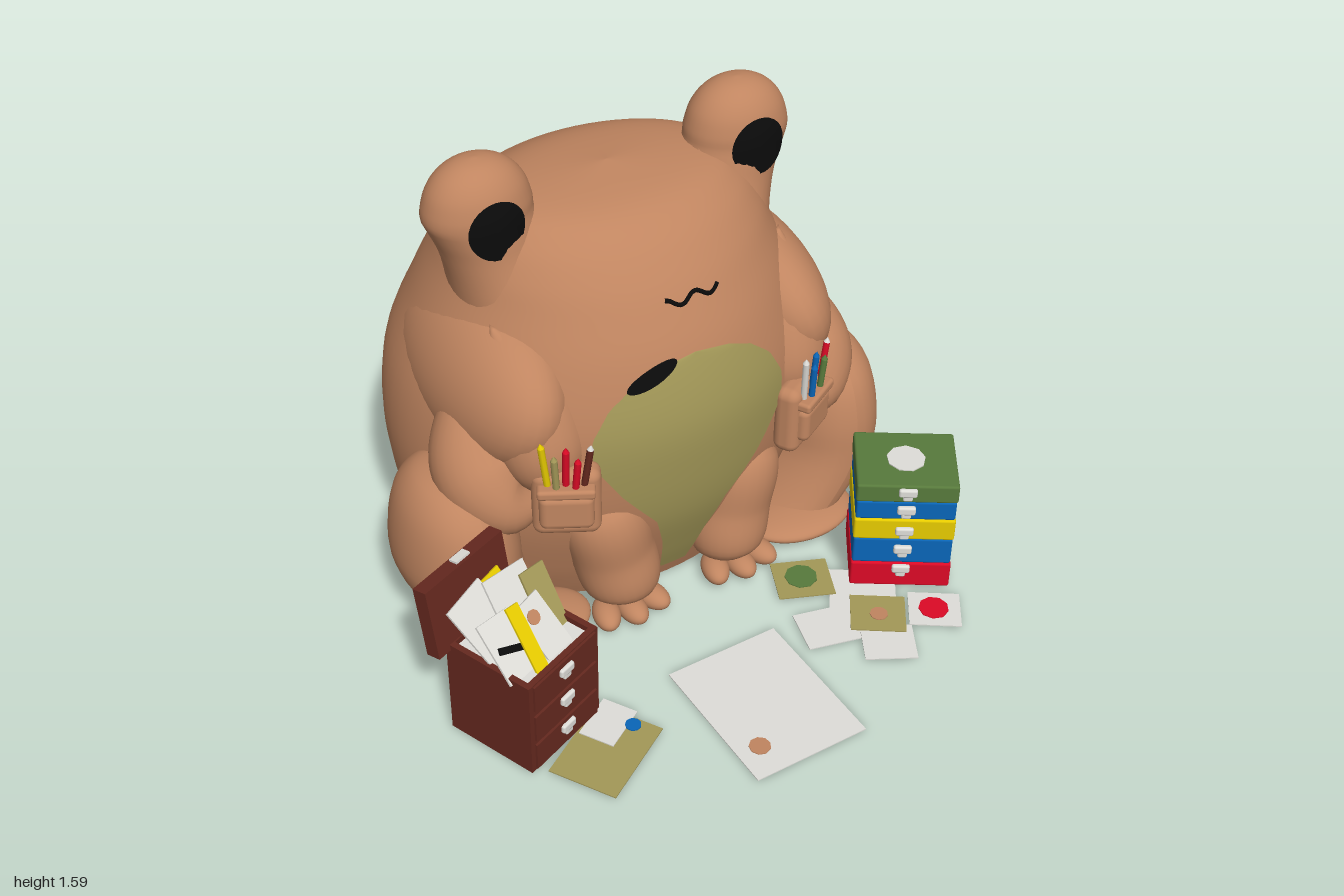
import * as THREE from 'three';
import { mergeVertices } from 'three/addons/utils/BufferGeometryUtils.js';
import { RoundedBoxGeometry } from 'three/addons/geometries/RoundedBoxGeometry.js';

const mat = (name, color) => Object.assign(new THREE.MeshStandardMaterial({ color }), { name });
const CX = 0.045; // the animal sits a little off the middle

// Body cross-sections: height, back z, front z, half width
const SLICES = [
  [0.01, -0.76, 0.08, 0.58], [0.08, -0.83, 0.11, 0.63], [0.2, -0.905, 0.16, 0.68], [0.4, -0.965, 0.23, 0.72],
  [0.6, -0.995, 0.265, 0.73], [0.8, -0.99, 0.275, 0.7], [1.0, -0.91, 0.235, 0.62],
  [1.15, -0.83, 0.17, 0.555], [1.25, -0.755, 0.11, 0.515], [1.34, -0.645, 0.03, 0.45],
  [1.4, -0.51, -0.08, 0.34], [1.43, -0.29, -0.29, 0],
];
const curveA = new THREE.CatmullRomCurve3(SLICES.map(s => new THREE.Vector3(s[0], s[1], s[2])), false, 'catmullrom');
const curveB = new THREE.CatmullRomCurve3(SLICES.map(s => new THREE.Vector3(s[0], s[3], 0)), false, 'catmullrom');
const ROWS = Array.from({ length: 56 }, (_, i) => {
  const a = curveA.getPoint(i / 55), b = curveB.getPoint(i / 55);
  return { y: a.x, zc: (a.y + a.z) / 2, hz: (a.z - a.y) / 2, hw: b.y };
});

// Body section at a height, and the front surface at a given x, y
function section(y) {
  let i = 0;
  while (i < ROWS.length - 2 && ROWS[i + 1].y < y) i++;
  const p = ROWS[i], q = ROWS[i + 1], k = THREE.MathUtils.clamp((y - p.y) / (q.y - p.y), 0, 1);
  return ['zc', 'hz', 'hw'].map(key => p[key] + (q[key] - p[key]) * k);
}
function bodyZ(x, y) {
  const [zc, hz, hw] = section(y);
  return zc + hz * Math.sqrt(Math.max(0, 1 - ((x - CX) / hw) ** 2));
}

function mapVertices(geo, fn) {
  const p = geo.attributes.position, v = new THREE.Vector3();
  for (let i = 0; i < p.count; i++) {
    fn(v.fromBufferAttribute(p, i), i);
    p.setXYZ(i, v.x, v.y, v.z);
  }
  geo.computeVertexNormals();
  return geo;
}
const onBody = geo => mapVertices(geo, v => { v.z = bodyZ(v.x, v.y) + 0.008; });

// Join seams, smooth, and drop the faces buried in the body
function trim(source) {
  source.deleteAttribute('normal');
  source.deleteAttribute('uv');
  const geo = mergeVertices(source), p = geo.attributes.position, ix = geo.index.array, keep = [];
  geo.computeVertexNormals();
  for (let i = 0; i < ix.length; i += 3) {
    const c = new THREE.Vector3();
    for (let k = 0; k < 3; k++) c.add(new THREE.Vector3().fromBufferAttribute(p, ix[i + k]).divideScalar(3));
    const [zc, hz, hw] = section(c.y);
    const buried = c.y < 1.43 && ((c.x - CX) / hw) ** 2 + ((c.z - zc) / hz) ** 2 < 0.88;
    if (!buried) keep.push(ix[i], ix[i + 1], ix[i + 2]);
  }
  geo.setIndex(keep);
  return geo;
}

function bodyGeometry(cols = 64) {
  const pos = [], idx = [];
  ROWS.forEach((r, i) => {
    for (let j = 0; j < cols; j++) {
      const a = j / cols * Math.PI * 2;
      pos.push(CX + r.hw * Math.sin(a), r.y, r.zc + r.hz * Math.cos(a));
      if (i === ROWS.length - 1) continue;
      const k = i * cols + j, n = i * cols + (j + 1) % cols;
      idx.push(k, n, n + cols, k, n + cols, k + cols);
    }
  });
  const g = new THREE.BufferGeometry();
  g.setAttribute('position', new THREE.Float32BufferAttribute(pos, 3));
  g.setIndex(idx);
  g.computeVertexNormals();
  return g;
}

// Swept limb with a radius for each point: [x, y, z, r]
function limbGeometry(pts, seg = 36, rad = 28) {
  const curve = new THREE.CatmullRomCurve3(pts.map(p => new THREE.Vector3(p[0], p[1], p[2])));
  const radii = new THREE.SplineCurve(pts.map((p, i) => new THREE.Vector2(i, p[3])));
  return mapVertices(new THREE.TubeGeometry(curve, seg, 1, rad, false), (v, i) => {
    const t = Math.floor(i / (rad + 1)) / seg, c = curve.getPointAt(t);
    v.sub(c).multiplyScalar(Math.max(0, radii.getPoint(curve.getUtoTmapping(t)).y)).add(c);
    v.y = Math.max(v.y, 0.005);
  });
}
const lathe = (pts, n) => new THREE.LatheGeometry(new THREE.SplineCurve(pts.map(p => new THREE.Vector2(...p)))
  .getPoints(n).map(p => p.set(Math.max(0, p.x), p.y)), 36);

export function createModel() {
  const M = {
    skin: mat('skin brown', 0xc08560), olive: mat('olive', 0xa39858), black: mat('black', 0x0b0b0b),
    wood: mat('dark wood', 0x66291f), white: mat('paper white', 0xdfded9), yellow: mat('yellow', 0xf5d800),
    red: mat('red', 0xdc0a26), blue: mat('blue', 0x0a66b8), green: mat('green', 0x587a3c),
  };
  const root = new THREE.Group();
  const add = (parent, name, geo, m, pos = [0, 0, 0], rot = [0, 0, 0]) => {
    const mesh = new THREE.Mesh(geo, m);
    mesh.name = name;
    mesh.position.set(...pos);
    mesh.rotation.set(...rot);
    parent.add(mesh);
    return mesh;
  };
  const group = (name, pos, ry = 0) => {
    const g = new THREE.Group();
    g.name = name;
    g.position.set(...pos);
    g.rotation.y = ry;
    root.add(g);
    return g;
  };
  const box = (w, h, d) => new THREE.BoxGeometry(w, h, d);

  // Body, seat underneath and belly patch
  add(root, 'body', bodyGeometry(), M.skin);
  const seat = new THREE.Shape();
  seat.absellipse(CX, -0.34, 0.58, 0.42, Math.PI, Math.PI * 2);
  seat.lineTo(CX + 0.52, -0.02);
  seat.quadraticCurveTo(CX, -0.32, CX - 0.52, -0.02);
  add(root, 'seat', new THREE.ShapeGeometry(seat, 24).rotateX(Math.PI / 2), M.skin, [0, 0.01, 0]);
  const W = [[0.08, 0.05], [0.25, 0.08], [0.4, 0.13], [0.55, 0.25], [0.7, 0.345], [0.8, 0.345], [0.9, 0.29], [0.97, 0.21], [1.01, 0.12], [1.03, 0]];
  const bellyHalf = y => {
    const i = Math.max(1, W.findIndex(w => w[0] >= y - 1e-6)), [y0, w0] = W[i - 1], [y1, w1] = W[i];
    return w0 + (w1 - w0) * (y - y0) / (y1 - y0);
  };
  const belly = mapVertices(new THREE.PlaneGeometry(1, 1, 20, 48), v => {
    v.y = 0.08 + (v.y + 0.5) * 0.95;
    v.x = 0.045 + v.x * 2 * bellyHalf(Math.min(v.y, 1.03));
  });
  add(root, 'belly', onBody(belly), M.olive);

  // Face
  const mouth = new THREE.RingGeometry(0, 1, 24, 4).scale(0.09, 0.027, 1).rotateZ(0.42).translate(-0.105, 0.99, 0);
  add(root, 'mouth', onBody(mouth).translate(0, 0, 0.004), M.black);
  const wave = Array.from({ length: 13 }, (_, i) => {
    const x = -0.015 + i * 0.016, y = 1.175 + 0.012 * Math.cos(i * 0.95);
    return new THREE.Vector3(x, y, bodyZ(x, y));
  });
  add(root, 'nose', new THREE.TubeGeometry(new THREE.CatmullRomCurve3(wave), 36, 0.007, 6), M.black);

  const bulbProfile = [[0.21, -0.36], [0.18, -0.22], [0.168, -0.12], [0.171, -0.05], [0.175, 0.01], [0.169, 0.05], [0.15, 0.1], [0.113, 0.144], [0.06, 0.173], [0, 0.183]];
  const pupil = mapVertices(new THREE.RingGeometry(0, 0.094, 28, 5), v => {
    v.z = 0.14 * Math.sqrt(1 - (v.x / 0.175) ** 2 - (Math.max(v.y, 0) / 0.183) ** 2) + 0.01;
  });
  const haunchProfile = [[0, 0.012], [0.5, 0.012], [0.9, 0.014], [0.97, 0.15], [1, 0.45], [0.97, 0.65], [0.84, 0.83], [0.6, 0.945], [0.3, 0.99], [0, 1]];

  for (const s of [1, -1]) {
    const side = s > 0 ? 'left' : 'right';
    const X = d => CX + s * d;
    const skin = (name, geo) => add(root, side + name, trim(geo), M.skin);
    const limb = (name, pts) => skin(name, limbGeometry(pts.map(([d, ...r]) => [X(d), ...r])));
    const blob = (name, [d, y, z], radii, ry = 0, rz = 0) =>
      skin(name, new THREE.SphereGeometry(1, 36, 24).scale(...radii).rotateZ(rz).rotateY(ry).translate(X(d), y, z));

    // Eyes on stalks that lean in and flare towards the head
    const bulb = mapVertices(lathe(bulbProfile, 36).scale(1, 1, 0.8), v => {
      const low = Math.max(0, -v.y);
      v.x -= s * low * 0.36;
      v.z *= 1 + low * 1.5;
    });
    skin('EyeBulb', bulb.translate(X(0.457), 1.412, -0.27));
    add(root, side + 'Pupil', pupil, M.black, [X(0.457), 1.412, -0.27]);

    // Arms: broad sleeve, elbow and a forearm lying on the belly
    blob('Sleeve', [0.485, 0.87, -0.24], [0.195, 0.27, 0.42], 0, s * 0.3);
    limb('Elbow', [[0.52, 0.96, -0.2, 0], [0.56, 0.82, -0.14, 0.11], [0.6, 0.64, -0.04, 0.16], [0.55, 0.56, 0.06, 0.12], [0.44, 0.56, 0.13, 0]]);
    limb('Forearm', [[0.52, 1.12, -0.1, 0], [0.48, 1.0, -0.04, 0.11], [0.45, 0.83, 0.035, 0.145], [0.44, 0.68, 0.08, 0.125], [0.43, 0.52, 0.13, 0]]);

    // Legs: haunch tucked in at the floor, flat hind foot, front leg with toes
    const haunch = mapVertices(lathe(haunchProfile, 36).scale(0.195, 0.645, 0.27), v => {
      v.x -= s * 0.17 * (Math.max(0, 0.32 - v.y) / 0.32) ** 1.6;
    });
    add(root, side + 'Haunch', haunch.translate(X(0.69), 0, -0.09), M.skin);
    blob('HindFoot', [0.52, 0.05, 0.1], [0.2, 0.045, 0.14]);
    limb('FrontLeg', [[0.3, 0.56, 0.05, 0], [0.26, 0.44, 0.09, 0.135], [0.225, 0.25, 0.105, 0.14], [0.2, 0.1, 0.13, 0.12], [0.2, 0.01, 0.14, 0]]);
    for (const k of [-1, 0, 1])
      blob('Toe', [0.21 + k * 0.085, 0.045, 0.205 - Math.abs(k) * 0.02], [0.046, 0.04, 0.075], k * s * 0.3);

    // Pouch on the forearm with pens
    const pouch = group(side + 'Pouch', [X(0.43), 0.61, 0.185], s * 0.5);
    add(pouch, 'pouchBack', new RoundedBoxGeometry(0.215, 0.25, 0.09, 3, 0.035), M.skin);
    add(pouch, 'pouchPocket', new RoundedBoxGeometry(0.17, 0.13, 0.06, 3, 0.025), M.skin, [0, -0.01, 0.045]);
    add(pouch, 'pouchFlap', new RoundedBoxGeometry(0.18, 0.035, 0.075, 2, 0.012), M.skin, [0, 0.07, 0.045]);
    const pens = s > 0 ? ['white', 'blue', 'blue', 'green', 'red'] : ['yellow', 'olive', 'red', 'red', 'wood'];
    pens.forEach((c, i) => {
      const h = [0.24, 0.2, 0.22, 0.19, 0.23][i];
      const pen = add(pouch, 'pen', new THREE.CylinderGeometry(0.011, 0.011, h, 8), M[c], [-0.06 + i * 0.03, h / 2, 0.045 + 0.014 * (i % 2)], [0.06, 0, 0.1 - i * 0.06]);
      add(pen, 'penTip', new THREE.ConeGeometry(0.011, 0.018, 8), i === 4 ? M.white : M[c], [0, h / 2 + 0.009, 0]);
    });
  }

  const knobs = (parent, ys, z) => ys.forEach(y => {
    add(parent, 'handle', new RoundedBoxGeometry(0.06, 0.032, 0.02, 2, 0.008), M.white, [0, y, z]);
    add(parent, 'handleDrop', new RoundedBoxGeometry(0.032, 0.024, 0.016, 2, 0.006), M.white, [0, y - 0.02, z]);
  });

  // Wooden drawer chest, open at the top and full of papers
  const chest = group('drawerChest', [-0.675, 0.005, 0.415], 0.38);
  add(chest, 'chestBase', box(0.325, 0.31, 0.32), M.wood, [0, 0.155, 0]);
  for (const s of [-1, 1]) {
    add(chest, 'chestSide', box(0.02, 0.05, 0.32), M.wood, [s * 0.1525, 0.335, 0]);
    add(chest, 'chestRim', box(0.325, 0.05, 0.02), M.wood, [0, 0.335, s * 0.15]);
  }
  add(chest, 'paperBed', box(0.285, 0.03, 0.28), M.white, [0, 0.325, 0]);
  for (const y of [0.06, 0.18, 0.305]) add(chest, 'drawerFront', box(0.29, 0.1, 0.01), M.wood, [0, y, 0.163]);
  knobs(chest, [0.08, 0.2, 0.32], 0.17);
  add(chest, 'lid', box(0.345, 0.25, 0.05), M.wood, [-0.04, 0.46, -0.185], [-0.15, 0, 0]);
  add(chest, 'lidPanel', box(0.24, 0.13, 0.006), M.olive, [-0.04, 0.455, -0.212], [-0.15, 0, 0]);
  add(chest, 'lidClasp', box(0.06, 0.008, 0.03), M.white, [-0.03, 0.587, -0.205], [-0.15, 0, 0]);
  // Filed papers: colour, x, y, z, width, height, tilt, roll
  const filed = [
    ['yellow', 0.0, 0.43, -0.1, 0.16, 0.17, -0.6, 0.1], ['white', -0.085, 0.43, -0.06, 0.16, 0.24, -0.7, 0.15],
    ['white', 0.03, 0.435, -0.035, 0.17, 0.24, -0.65, -0.12], ['olive', 0.11, 0.42, 0, 0.1, 0.22, -0.6, -0.1],
    ['white', -0.095, 0.405, 0.03, 0.13, 0.2, -0.8, -0.1], ['yellow', -0.045, 0.415, 0.06, 0.05, 0.22, -0.7, -0.12],
    ['white', 0.03, 0.405, 0.06, 0.11, 0.2, -0.7, 0.08],
  ].map(([c, x, y, z, w, h, tilt, roll]) => add(chest, 'filedPaper', box(w, h, 0.008), M[c], [x, y, z], [tilt, 0, roll]));
  add(filed[6], 'paperMark', new THREE.CylinderGeometry(0.024, 0.024, 0.004, 10), M.skin, [-0.01, 0.045, 0.005], [Math.PI / 2, 0, 0]);
  add(filed[4], 'inkPen', box(0.09, 0.022, 0.008), M.black, [0, -0.01, 0.008], [0, 0, -0.3]);

  // Stack of coloured drawers
  const stack = group('drawerStack', [0.745, 0.005, 0.425], -0.58);
  [['red', 0, 0.1], ['blue', 0.1, 0.105], ['yellow', 0.205, 0.085], ['blue', 0.29, 0.075], ['green', 0.365, 0.07]].forEach(([c, y, h], i) =>
    add(stack, c + 'Drawer', new RoundedBoxGeometry(0.33 - (i % 2) * 0.006, h, 0.275 - (i % 2) * 0.006, 2, 0.008), M[c], [0, y + h / 2, 0]));
  knobs(stack, [0.08, 0.165, 0.245, 0.335, 0.41], 0.14);
  add(stack, 'topLabel', new THREE.CylinderGeometry(0.064, 0.064, 0.006, 9), M.white, [0, 0.436, 0], [0, 0.3, 0]);

  // Papers on the floor: name, colour, x, z, width, depth, turn, level
  const papers = [
    ['largeSheet', 'white', 0, 0.745, 0.4, 0.51, 0, 0], ['chestSheet', 'olive', -0.53, 0.66, 0.31, 0.23, 0.55, 1],
    ['chestSheetCorner', 'white', -0.47, 0.57, 0.16, 0.12, 0.55, 2], ['noteGreen', 'olive', 0.405, 0.36, 0.19, 0.17, -0.4, 4],
    ['noteWide', 'white', 0.4, 0.59, 0.28, 0.16, -0.25, 1], ['noteBack', 'white', 0.55, 0.5, 0.22, 0.2, -0.6, 0],
    ['noteFront', 'white', 0.48, 0.74, 0.17, 0.15, -0.5, 2], ['noteRed', 'white', 0.695, 0.7, 0.17, 0.15, -0.6, 3],
    ['noteBrown', 'olive', 0.52, 0.625, 0.18, 0.16, -0.6, 5],
  ];
  papers.forEach(([name, c, x, z, w, d, turn, level]) =>
    add(root, name, box(w, 0.004, d), M[c], [x, 0.003 + level * 0.004, z], [0, turn, 0]));
  const marks = [['skin', -0.12, 0.89, 0.035, 0], ['blue', -0.41, 0.62, 0.026, 2], ['green', 0.405, 0.35, 0.055, 4], ['red', 0.695, 0.695, 0.05, 3], ['skin', 0.52, 0.63, 0.03, 5]];
  marks.forEach(([c, x, z, r, level]) =>
    add(root, 'paperMark', new THREE.CylinderGeometry(r, r, 0.004, 9), M[c], [x, 0.006 + level * 0.004, z]));
  return root;
}
